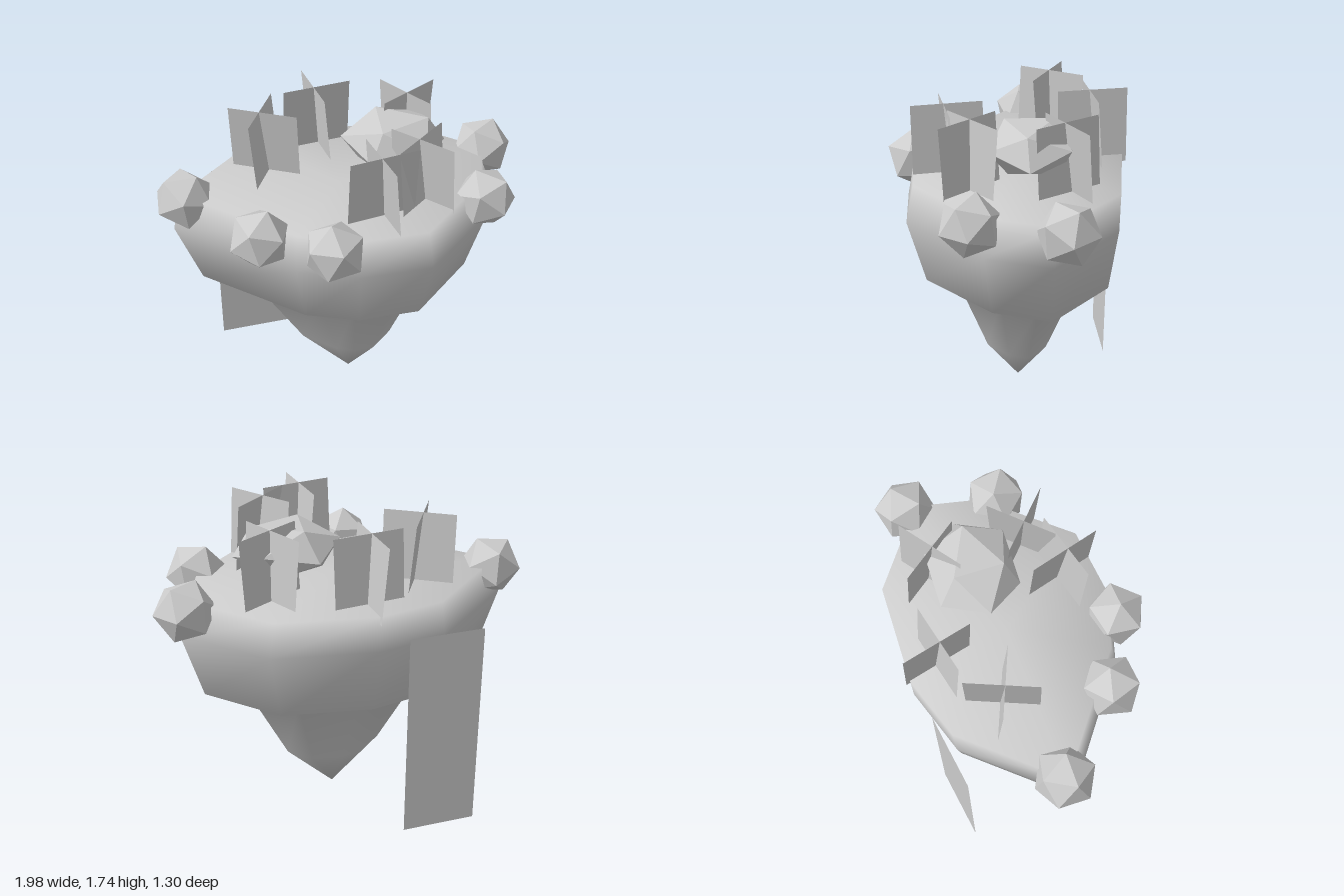
import * as THREE from 'three';

const stone = new THREE.MeshStandardMaterial({ color: 0xcccccc });
stone.name = 'pale grey';
const stoneFlat = stone.clone();
stoneFlat.flatShading = true;
const sheet = stone.clone();
sheet.side = THREE.DoubleSide;

// Island plan, seen from above, relative to its centre
const outline = [
  [-0.9, 0], [-0.46, -0.47], [-0.1, -0.58], [0.46, -0.55], [0.88, -0.22],
  [0.79, 0.13], [0.4, 0.55], [0.02, 0.58], [-0.3, 0.48],
];

// Cross-sections from the top down: y, x scale, z scale, centre x, centre z
const sections = [
  [1.37, 0.95, 0.97, 0, -0.085],
  [1.17, 1, 1, 0, -0.065],
  [0.81, 0.865, 0.88, 0.01, -0.09],
  [0.76, 0.59, 0.595, 0.02, -0.085],
  [0.3, 0.3, 0.3, 0.05, -0.085],
];

function islandGeometry() {
  const pos = [], idx = [], n = outline.length;
  for (const [y, sx, sz, cx, cz] of sections)
    for (const [x, z] of outline) pos.push(x * sx + cx, y, z * sz + cz);
  const top = sections.length * n, tip = top + 1, last = top - n;
  pos.push(0, 1.37, -0.085, 0.05, 0.03, -0.09);
  for (let j = 0; j < n; j++) {
    const k = (j + 1) % n;
    idx.push(top, k, j);
    for (let i = 0; i < sections.length - 1; i++) {
      const a = i * n + j, b = i * n + k;
      idx.push(a, b, b + n, a, b + n, a + n);
    }
    idx.push(last + j, last + k, tip);
  }
  const g = new THREE.BufferGeometry();
  g.setAttribute('position', new THREE.Float32BufferAttribute(pos, 3));
  g.setIndex(idx);
  g.computeVertexNormals();
  return g;
}

export function createModel() {
  const model = new THREE.Group();
  model.name = 'floatingIsland';
  const add = (parent, name, geometry, material) => {
    const mesh = new THREE.Mesh(geometry, material);
    mesh.name = name;
    parent.add(mesh);
    return mesh;
  };

  add(model, 'island', islandGeometry(), stone);

  // Faceted bushes around the rim
  const bushes = [
    [-0.83, 1.34, -0.09], [-0.47, 1.33, 0.31], [-0.11, 1.33, 0.48],
    [0.85, 1.345, -0.35], [0.75, 1.335, 0.13],
  ];
  bushes.forEach((p, i) => {
    const bush = add(model, 'bush', new THREE.IcosahedronGeometry(0.166, 0), stoneFlat);
    bush.position.set(...p);
    bush.rotation.set(0.2 + i * 0.15, i * 0.9, 0.1);
  });

  // Squashed boulder on the top
  const boulderShape = new THREE.IcosahedronGeometry(1, 0);
  boulderShape.rotateX(0.45).rotateY(0.5).scale(0.29, 0.15, 0.25);
  add(model, 'boulder', boulderShape, stoneFlat).position.set(0.3, 1.57, -0.16);

  // Crossed upright sheets, each leaning slightly: x, z, turn in degrees
  const tufts = [
    [-0.38, -0.25, 24], [-0.07, -0.48, -12], [0.17, 0.28, -14],
    [0.4, 0.15, 45], [0.41, -0.35, -35],
  ];
  for (const [x, z, turn] of tufts) {
    const tuft = new THREE.Group();
    tuft.name = 'grassTuft';
    for (const quarter of [0, 90]) {
      const blade = new THREE.PlaneGeometry(0.38, 0.41);
      blade.rotateX(0.085);
      blade.rotateY(-THREE.MathUtils.degToRad(turn + quarter));
      add(tuft, 'grassSheet', blade, sheet);
    }
    tuft.position.set(x, 1.535, z);
    model.add(tuft);
  }

  // Waterfall hanging off the back edge
  const fall = add(model, 'waterfall', new THREE.PlaneGeometry(0.413, 1.2), sheet);
  fall.position.set(-0.465, 0.6, -0.575);
  fall.rotation.y = 0.121;

  return model;
}
